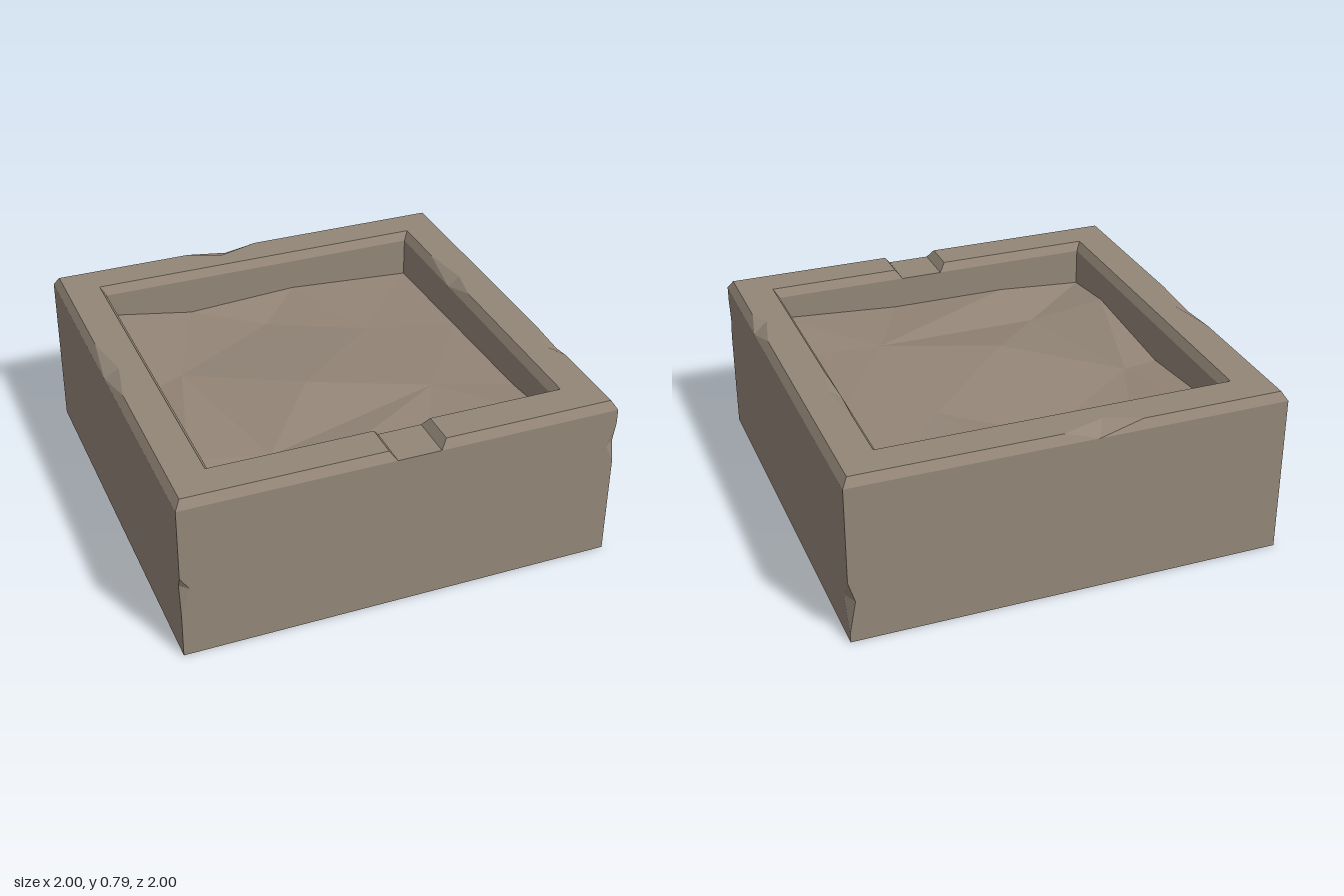
import * as THREE from 'three';

const H = 0.79, E = 0.75;          // rim height, height of the bevel's lower edge
const OUT = 0.975, IN = 0.815, WALL = 0.79;

// Flat-shaded geometry from planar polygons; each is [points, outward direction]
function facesGeometry(faces) {
  const pos = [];
  for (const [pts, dir] of faces) {
    const v = pts.map(p => new THREE.Vector3(...p));
    const n = new THREE.Vector3(...dir);
    const a = dir.map(Math.abs);
    const drop = a.indexOf(Math.max(...a));
    const [i, j] = [0, 1, 2].filter(k => k !== drop);
    const tris = v.length === 3 ? [[0, 1, 2]]
      : THREE.ShapeUtils.triangulateShape(pts.map(p => new THREE.Vector2(p[i], p[j])), []);
    for (const t of tris) {
      const [p, q, r] = t.map(k => v[k]);
      const flip = q.clone().sub(p).cross(r.clone().sub(p)).dot(n) < 0;
      for (const c of flip ? [p, r, q] : [p, q, r]) pos.push(c.x, c.y, c.z);
    }
  }
  const g = new THREE.BufferGeometry();
  g.setAttribute('position', new THREE.Float32BufferAttribute(pos, 3));
  g.computeVertexNormals();
  return g;
}

// Sides: at(along, height, outward); gap = broken stretch of the outer bevel
// (top from/to, bottom from/to); chip = its apex on the rim (along, outward);
// dents at the +/- ends: [top, middle, inset, bottom]
const sides = {
  front: { at: (u, y, d) => [u, y, d], gap: [-0.07, 0.19, -0.04, 0.16],
    plus: [0.68, 0.57, 0.04, 0.48], minus: [0.41, 0.35, 0.04, 0.21] },
  back: { at: (u, y, d) => [u, y, -d], gap: [-0.32, 0.04, -0.11, -0.11], chip: [-0.16, 0.91],
    plus: [0.3, 0.2, 0.03, 0.04] },
  right: { at: (u, y, d) => [d, y, u], gap: [0.28, 0.57, 0.45, 0.45], chip: [0.48, 0.93],
    plus: [0.68, 0.58, 0.02, 0.48], minus: [0.3, 0.2, 0.07, 0.04] },
  left: { at: (u, y, d) => [-d, y, u], gap: [-0.3, 0.16, -0.06, -0.06], chip: [-0.06, 0.93],
    plus: [0.41, 0.36, 0.02, 0.21] },
};

export function createModel() {
  const group = new THREE.Group();
  const stone = new THREE.MeshStandardMaterial({ color: 0x938678 });
  const ground = new THREE.MeshStandardMaterial({ color: 0x938577, side: THREE.DoubleSide });
  const add = (name, faces, material = stone) => {
    const mesh = new THREE.Mesh(facesGeometry(faces), material);
    mesh.name = name;
    group.add(mesh);
  };

  // Outer walls, bevels, inner walls and underside, side by side
  for (const [name, s] of Object.entries(sides)) {
    const { at, gap: [a, b, a2, b2], chip } = s;
    const dent = (d, e) => d ? [[e, d[3]], [e * (1 - d[2]), d[1]], [e, d[0]]] : [];
    const outline = [[-1, 0], [1, 0], ...dent(s.plus, 1), [1, E], [-1, E], ...dent(s.minus, -1).reverse()];
    add(name + 'Wall', [[outline.map(([u, y]) => at(u, y, 1)), at(0, 0, 1)]]);

    const up = at(0, 1, 0.5), inward = at(0, 0, -1);
    const bevel = [
      [[at(-1, E, 1), at(a2, E, 1), at(a, H, OUT), at(-OUT, H, OUT)], up],
      [[at(b2, E, 1), at(1, E, 1), at(OUT, H, OUT), at(b, H, OUT)], up],
    ];
    if (chip) {
      const p = at(chip[0], H, chip[1]), q = at(a2, E, 1);
      bevel.push([[at(a, H, OUT), p, q], up], [[p, at(b, H, OUT), q], up]);
    }
    add(name + 'Bevel', bevel);

    add(name + 'InnerWall', [[[at(-WALL, 0, WALL), at(WALL, 0, WALL), at(WALL, E, WALL), at(-WALL, E, WALL)], inward]]);
    add(name + 'Underside', [[[at(-1, 0, 1), at(1, 0, 1), at(WALL, 0, WALL), at(-WALL, 0, WALL)], [0, -1, 0]]]);

    // Inner bevel: notched at the front, chipped on the right
    const innerUp = at(0, 1, -0.5);
    const inner = (from, to, f2, t2) =>
      [[at(from, H, IN), at(to, H, IN), at(t2, E, WALL), at(f2, E, WALL)], innerUp];
    const innerFaces = name === 'front' ? [inner(-IN, a, -WALL, a2), inner(b, IN, b2, WALL)]
      : name === 'right' ? [inner(-IN, -0.52, -WALL, -0.27), inner(-0.1, IN, -0.27, WALL),
        [[[IN, H, -0.52], [0.85, H, -0.27], [WALL, E, -0.27]], innerUp],
        [[[IN, H, -0.1], [0.85, H, -0.27], [WALL, E, -0.27]], innerUp]]
        : [inner(-IN, IN, -WALL, WALL)];
    add(name + 'InnerBevel', innerFaces);
  }

  // Flat rim, one outline running round from one side of the notch to the other
  const rim = [
    [0.19, OUT], [OUT, OUT], [OUT, 0.57], [0.93, 0.48], [OUT, 0.28], [OUT, -OUT],
    [0.04, -OUT], [-0.16, -0.91], [-0.32, -OUT], [-OUT, -OUT],
    [-OUT, -0.3], [-0.93, -0.06], [-OUT, 0.16], [-OUT, OUT], [-0.07, OUT],
    [-0.07, IN], [-IN, IN], [-IN, -IN], [IN, -IN],
    [IN, -0.52], [0.85, -0.27], [IN, -0.1], [IN, IN], [0.19, IN],
  ];
  add('rim', [[rim.map(([x, z]) => [x, H, z]), [0, 1, 0]]]);

  // Notch through the front rim
  const notchSide = (top, low, dir) =>
    [[[top, H, OUT], [top, H, IN], [low, E, WALL], [low, E, 1]], [dir, 0.5, 0]];
  add('notch', [
    notchSide(-0.07, -0.04, 1), notchSide(0.19, 0.16, -1),
    [[[-0.04, E, WALL], [0.16, E, WALL], [0.16, E, 1], [-0.04, E, 1]], [0, 1, 0]],
  ]);

  // Dents in three upright corners
  const cornerDent = (sx, sz, face, side) => {
    const top = [sx, face[0], sz], low = [sx, face[3], sz];
    const p = [sx * (1 - face[2]), face[1], sz], q = [sx, side[1], sz * (1 - side[2])];
    add('cornerDent', [[[top, p, q], [sx, 0, sz]], [[low, p, q], [sx, 0, sz]]]);
  };
  cornerDent(1, 1, sides.front.plus, sides.right.plus);
  cornerDent(-1, 1, sides.front.minus, sides.left.plus);
  cornerDent(1, -1, sides.back.plus, sides.right.minus);

  // Uneven floor: 0-11 run round the border from the back left, 12-17 lie inside
  const W = WALL;
  const f = [
    [-W, 0.64, -W], [-0.37, 0.57, -W], [0.17, 0.6, -W], [W, 0.56, -W],
    [W, 0.58, -0.19], [W, 0.6, 0.44], [W, 0.64, W], [0.2, 0.6, W],
    [-0.37, 0.6, W], [-W, 0.57, W], [-W, 0.61, 0.48], [-W, 0.57, -0.15],
    [-0.05, 0.55, -0.57], [0.36, 0.59, -0.29], [-0.6, 0.59, -0.21],
    [-0.11, 0.64, 0.13], [0.42, 0.63, 0.35], [-0.42, 0.55, 0.5],
  ];
  const tris = [
    [0, 1, 14], [1, 12, 14], [1, 2, 12], [2, 13, 12], [2, 3, 13], [3, 4, 13],
    [4, 16, 13], [4, 5, 16], [5, 6, 16], [6, 7, 16], [7, 8, 16], [8, 17, 16],
    [8, 9, 17], [9, 10, 17], [10, 14, 17], [10, 11, 14], [11, 0, 14],
    [12, 13, 14], [13, 15, 14], [13, 16, 15], [15, 16, 17], [14, 15, 17],
  ];
  add('floor', tris.map(t => [t.map(i => f[i]), [0, 1, 0]]), ground);

  return group;
}
